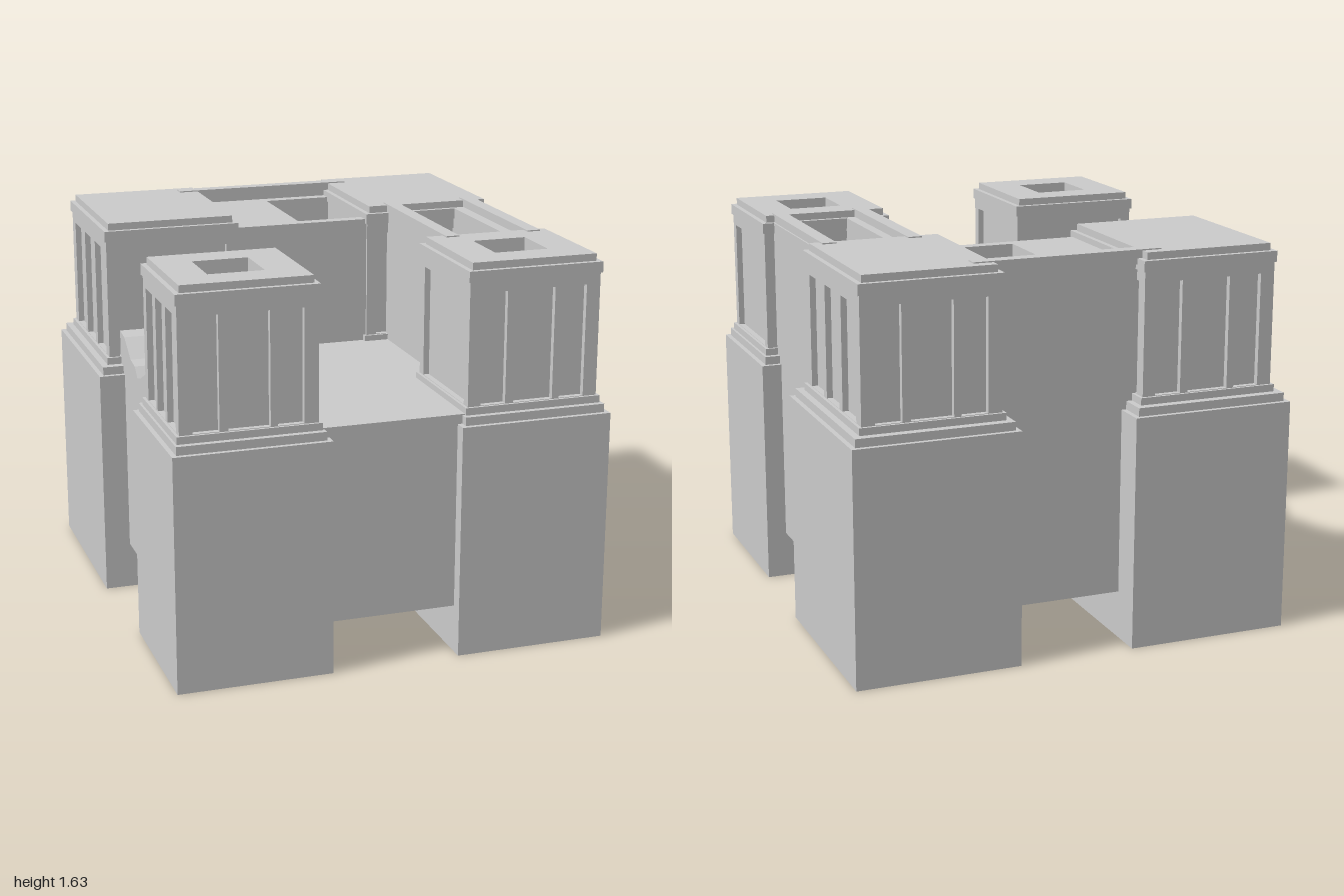
import * as THREE from 'three';

const mat = new THREE.MeshStandardMaterial({ color: 0xcccccc, side: THREE.DoubleSide });

function add(parent, name, geometry) {
  const m = new THREE.Mesh(geometry, mat);
  m.name = name;
  parent.add(m);
  return m;
}

// Box given by its limits; openBottom leaves out the lower face
function block(parent, name, [x0, x1, z0, z1], y0, y1, openBottom = false) {
  const g = new THREE.BoxGeometry(x1 - x0, y1 - y0, z1 - z0);
  if (openBottom) {
    const idx = Array.from(g.index.array);
    idx.splice(18, 6);
    g.setIndex(idx);
    g.clearGroups();
  }
  g.translate((x0 + x1) / 2, (y0 + y1) / 2, (z0 + z1) / 2);
  return add(parent, name, g);
}

function rect(Type, a0, a1, b0, b1) {
  const p = new Type();
  p.moveTo(a0, b0);
  p.lineTo(a1, b0);
  p.lineTo(a1, b1);
  p.lineTo(a0, b1);
  p.closePath();
  return p;
}

// Upright block pierced by a vertical rectangular shaft
function pierced(parent, name, [x0, x1, z0, z1], y0, y1, [hx0, hx1, hz0, hz1]) {
  const s = rect(THREE.Shape, x0, x1, -z1, -z0);
  s.holes.push(rect(THREE.Path, hx0, hx1, -hz1, -hz0));
  const g = new THREE.ExtrudeGeometry(s, { depth: y1 - y0, bevelEnabled: false });
  g.rotateX(-Math.PI / 2);
  g.translate(0, y0, 0);
  return add(parent, name, g);
}

const grow = ([x0, x1, z0, z1], d) => [x0 - d, x1 + d, z0 - d, z1 + d];
const flip = ([x0, x1, z0, z1]) => [-x1, -x0, z0, z1];

// Openings of a facade as fractions of its width
const SINGLE = [[0.08, 0.92]];
const TRIPLE = [[0.096, 0.287], [0.348, 0.652], [0.705, 0.896]];
const EVEN = [[0.085, 0.32], [0.375, 0.61], [0.67, 0.915]];
const DEPTH = 0.025;

// Thin wall with openings, standing on one side of a footprint
function facade(parent, side, [x0, x1, z0, z1], openings) {
  const alongX = side === 'front' || side === 'back';
  const w = alongX ? x1 - x0 : z1 - z0;
  const s = rect(THREE.Shape, -w / 2, w / 2, 1.03, 1.6);
  for (const [a, b] of openings) {
    s.holes.push(rect(THREE.Path, (a - 0.5) * w, (b - 0.5) * w, 1.047, 1.51));
  }
  const g = new THREE.ExtrudeGeometry(s, { depth: DEPTH, bevelEnabled: false });
  const half = (alongX ? z1 - z0 : x1 - x0) / 2;
  g.translate(0, 0, half - DEPTH);
  g.rotateY({ front: 0, left: Math.PI / 2, back: Math.PI, right: -Math.PI / 2 }[side]);
  g.translate((x0 + x1) / 2, 0, (z0 + z1) / 2);
  add(parent, side + 'Facade', g);
}

// Corner tower: tall base, two steps, panelled storey, cornice and cap
function tower(name, base, body, sides, shaft) {
  const t = new THREE.Group();
  t.name = name;
  block(t, 'base', base, 0, 0.98, true);
  block(t, 'lowerStep', grow(base, -0.02), 0.98, 1.015);
  block(t, 'upperStep', grow(body, 0.012), 1.015, 1.045);
  const upright = (part, foot, y0, y1) =>
    shaft ? pierced(t, part, foot, y0, y1, shaft) : block(t, part, foot, y0, y1);
  upright('storeyCore', grow(body, -DEPTH), 1.045, 1.595);
  upright('cornice', grow(body, 0.007), 1.555, 1.6);
  upright('cap', grow(body, -0.014), 1.6, 1.63);
  for (const side in sides) facade(t, side, body, sides[side]);
  return t;
}

export function createModel() {
  const model = new THREE.Group();
  model.name = 'fortress';

  // Central mass with the courtyard deck on top
  block(model, 'core', [-0.83, 0.83, -0.86, 0.945], 0.2, 1.02, true);

  // Corner towers, the front pair with open shafts
  const frontBase = [0.27, 0.915, 0.355, 1], frontBody = [0.312, 0.873, 0.412, 0.943];
  const backBase = [0.245, 0.94, -1, -0.16], backBody = [0.302, 0.88, -0.933, -0.228];
  const shaft = [0.48, 0.71, 0.56, 0.79];
  model.add(
    tower('frontLeftTower', frontBase, frontBody,
      { front: TRIPLE, left: SINGLE, back: SINGLE, right: SINGLE }, shaft),
    tower('frontRightTower', flip(frontBase), flip(frontBody),
      { front: TRIPLE, left: SINGLE, back: SINGLE, right: EVEN }, flip(shaft)),
    tower('backLeftTower', backBase, backBody,
      { front: SINGLE, left: EVEN, back: TRIPLE, right: SINGLE }),
    tower('backRightTower', flip(backBase), flip(backBody),
      { front: SINGLE, left: SINGLE, back: TRIPLE, right: EVEN }));

  // Hall between the back towers, with a roof opening and a beam along its rear
  pierced(model, 'backHall', [-0.32, 0.32, -0.86, -0.24], 1.02, 1.575, [0, 0.3, -0.77, -0.29]);
  block(model, 'backBeam', [-0.4, 0.4, -0.875, -0.82], 1.575, 1.635);

  // Standing walls of the left gallery with rails on top
  for (const [x0, x1, r0] of [[0.4, 0.5, 0.4], [0.715, 0.83, 0.765]]) {
    block(model, 'galleryWall', [x0, x1, -0.24, 0.42], 1.02, 1.6);
    block(model, 'galleryRail', [r0, r0 + 0.058, -0.29, 0.465], 1.6, 1.635);
  }

  // Broken walls of the right gallery
  const ruin = [[-0.23, 1.16], [-0.15, 1.15], [-0.04, 1.08], [0.035, 1.07], [0.08, 1.03],
    [0.135, 1.045], [0.32, 1.13], [0.35, 1.04], [0.42, 1.03]];
  for (const [x0, x1] of [[-0.83, -0.71], [-0.5, -0.4]]) {
    const s = new THREE.Shape();
    s.moveTo(0.23, 1.0);
    for (const [z, y] of ruin) s.lineTo(-z, y);
    s.lineTo(-0.42, 1.0);
    s.closePath();
    const g = new THREE.ExtrudeGeometry(s, { depth: x1 - x0, bevelEnabled: false });
    g.rotateY(Math.PI / 2);
    g.translate(x0, 0, 0);
    add(model, 'brokenWall', g);
  }
  return model;
}
